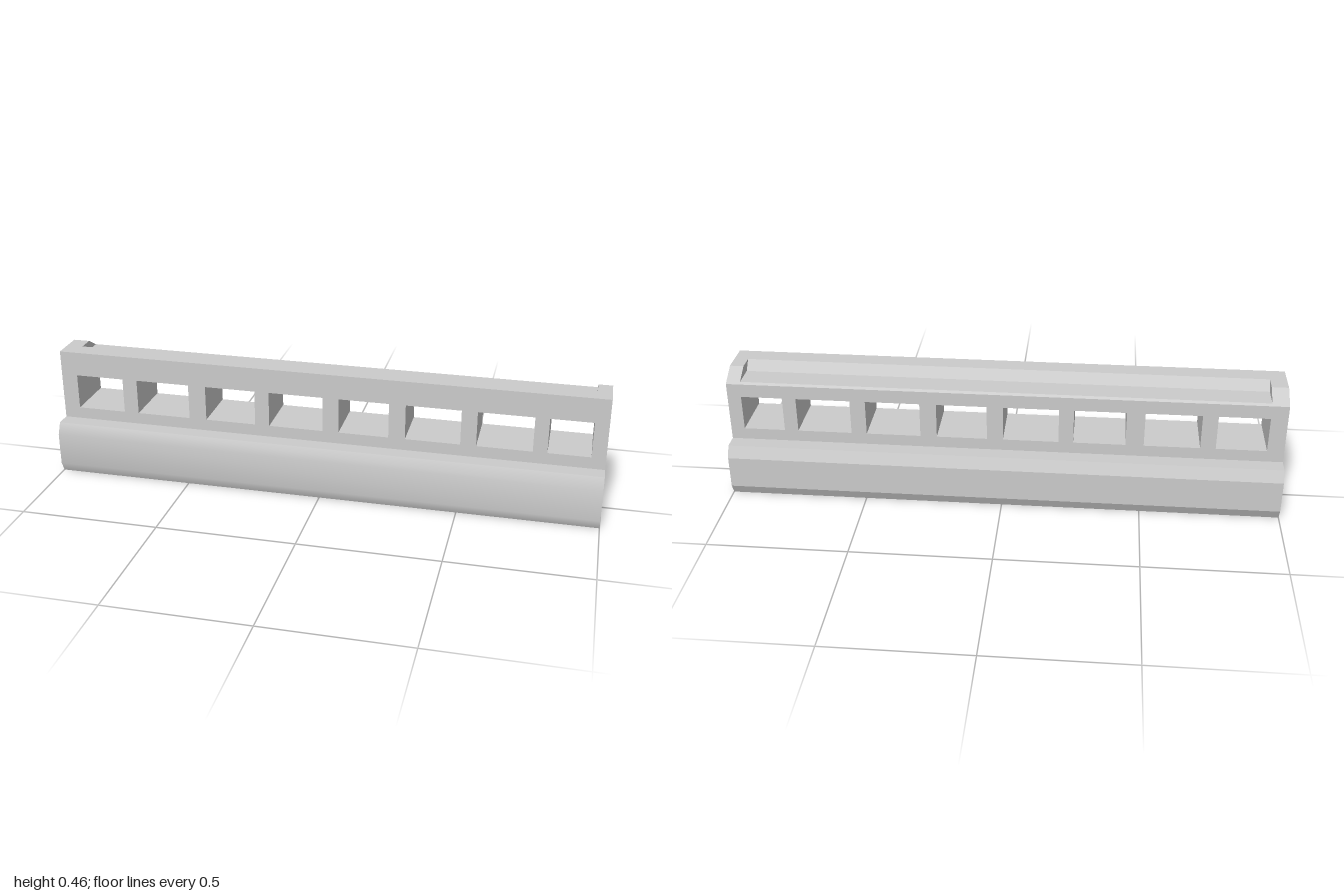
import * as THREE from 'three';
import { mergeVertices } from 'three/addons/utils/BufferGeometryUtils.js';

const material = new THREE.MeshStandardMaterial({ color: 0xcccccc, side: THREE.DoubleSide });

// Ways to place a 2D point swept along an axis
const alongX = ([z, y], x) => [x, y, z];
const alongZ = ([x, y], z) => [x, y, z];

// Open surface: a polyline swept from a to b
function strip(points, a, b, place, smooth = false) {
  const pos = [];
  for (let i = 0; i < points.length - 1; i++) {
    const p = points[i], q = points[i + 1];
    const [A, B, C, D] = [place(p, a), place(q, a), place(q, b), place(p, b)];
    pos.push(...A, ...B, ...C, ...A, ...C, ...D);
  }
  let geo = new THREE.BufferGeometry();
  geo.setAttribute('position', new THREE.Float32BufferAttribute(pos, 3));
  if (smooth) geo = mergeVertices(geo);
  geo.computeVertexNormals();
  return geo;
}

const toShape = (points) => new THREE.Shape(points.map(([x, y]) => new THREE.Vector2(x, y)));

// Flat cross-section in (z, y) at a given x, facing +x or -x
function section(points, x, facing) {
  const geo = new THREE.ShapeGeometry(toShape(points.map(([z, y]) => [-facing * z, y])));
  return geo.rotateY(facing * Math.PI / 2).translate(x, 0, 0);
}

export function createModel() {
  const model = new THREE.Group();
  const add = (name, geo) => {
    const mesh = new THREE.Mesh(geo, material);
    mesh.name = name;
    model.add(mesh);
  };

  const W = 0.098, ledge = 0.197, top = 0.46, backTop = 0.42;
  const troughX = [-0.94, 0.95], floorY = 0.426;

  // Base: rounded-looking front, faceted back, flat ledges and underside
  const front = [[0.155, ledge], [0.175, 0.155], [0.175, 0.037], [0.157, 0]];
  const back = front.map(([z, y]) => [-z, y]).reverse();
  add('baseFront', strip(front, -1, 1, alongX, true));
  add('baseBack', strip(back, -1, 1, alongX));
  add('baseUnderside', strip([front[3], back[0]], -1, 1, alongX));
  add('frontLedge', strip([[W, ledge], front[0]], -1, 1, alongX));
  add('backLedge', strip([back[3], [-W, ledge]], -1, 1, alongX));

  // Upright wall with a row of windows
  const windows = [[-0.94, -0.76], [-0.705, -0.505], [-0.44, -0.253], [-0.2, 0],
    [0.058, 0.24], [0.3, 0.497], [0.553, 0.75], [0.8, 0.95]];
  const outlines = windows.map(([x0, x1]) =>
    [[x1, 0.24], [x0, 0.24], [x0, 0.37], [x1, 0.37], [x1, 0.24]]);
  const wall = (height) => {
    const shape = toShape([[-1, ledge], [1, ledge], [1, height], [-1, height]]);
    shape.holes = outlines.map((o) => new THREE.Path(o.slice(0, 4).map(([x, y]) => new THREE.Vector2(x, y))));
    return new THREE.ShapeGeometry(shape);
  };
  add('wallFront', wall(top).translate(0, 0, W));
  // turned to face backwards, then windows mirrored back into line
  const backWall = wall(backTop).scale(-1, 1, 1).rotateY(Math.PI).translate(0, 0, -W);
  const index = backWall.index.array;
  for (let i = 0; i < index.length; i += 3) [index[i], index[i + 1]] = [index[i + 1], index[i]];
  backWall.computeVertexNormals();
  add('wallBack', backWall);
  outlines.forEach((o) => add('windowReveal', strip(o, -W, W, alongZ)));

  // Chamfered top, with a long shallow trough between the solid ends
  const ridge = [[-W, backTop], [-0.03, top], [W, top]];
  const trough = [[-0.088, floorY], [0, floorY], [0.03, top]];
  add('topEnd', strip(ridge, -1, troughX[0], alongX));
  add('topEnd', strip(ridge, troughX[1], 1, alongX));
  add('troughTop', strip([ridge[0], ...trough, ridge[2]], ...troughX, alongX));
  const troughEnd = [...trough, ridge[1]];
  add('troughEnd', section(troughEnd, troughX[0], 1));
  add('troughEnd', section(troughEnd, troughX[1], -1));

  // End faces: the full silhouette
  const silhouette = [...ridge, [W, ledge], ...front, ...back, [-W, ledge]];
  for (const s of [-1, 1]) add('endFace', section(silhouette, s, s));

  return model;
}
